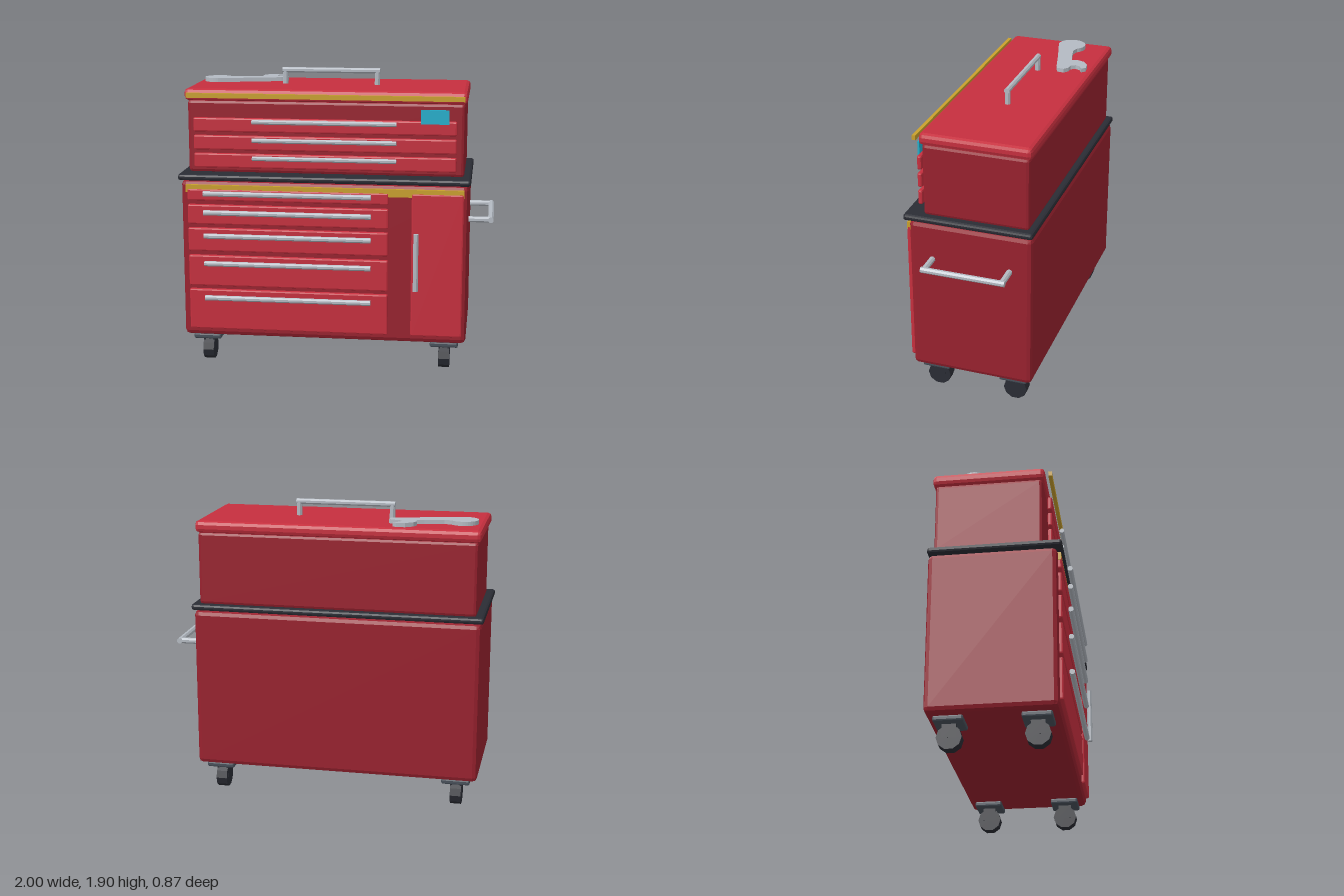
import * as THREE from 'three';
import { RoundedBoxGeometry } from 'three/addons/geometries/RoundedBoxGeometry.js';

function material(name, color) {
  const m = new THREE.MeshStandardMaterial({ color, flatShading: true });
  m.name = name;
  return m;
}

export function createModel() {
  const model = new THREE.Group();
  model.name = 'toolChest';
  const red = material('bright red', 0xc62f3e);
  const darkRed = material('dark red', 0x98212e);
  const gold = material('gold', 0xc9a02c);
  const steel = material('steel', 0xb4bac2);
  const cyan = material('cyan', 0x22aecb);
  const black = material('black', 0x2a2c34);
  const slate = material('slate', 0x48505a);

  function add(name, geometry, mat, parent = model) {
    const mesh = new THREE.Mesh(geometry, mat);
    mesh.name = name;
    parent.add(mesh);
    return mesh;
  }

  // Box given by its limits, with chamfered edges when bevel > 0
  function block(name, mat, [x0, x1], [y0, y1], [z0, z1], bevel = 0, parent = model) {
    const size = [x1 - x0, y1 - y0, z1 - z0];
    const geometry = bevel ? new RoundedBoxGeometry(...size, 1, bevel) : new THREE.BoxGeometry(...size);
    const mesh = add(name, geometry, mat, parent);
    mesh.position.set((x0 + x1) / 2, (y0 + y1) / 2, (z0 + z1) / 2);
    return mesh;
  }

  // Eight-sided steel rod between two points
  function rod(name, a, b, r = 0.017, parent = model) {
    const p = new THREE.Vector3(...a), q = new THREE.Vector3(...b);
    const dir = q.clone().sub(p);
    const mesh = add(name, new THREE.CylinderGeometry(r, r, dir.length(), 8), steel, parent);
    mesh.geometry.rotateY(Math.PI / 8);
    mesh.position.copy(p).add(q).multiplyScalar(0.5);
    mesh.quaternion.setFromUnitVectors(new THREE.Vector3(0, 1, 0), dir.normalize());
    return mesh;
  }

  // Cabinet, worktop, upper chest and lid
  block('cabinet', darkRed, [-0.985, 0.838], [0.195, 1.222], [-0.43, 0.355], 0.03);
  block('worktop', black, [-1, 0.853], [1.225, 1.265], [-0.435, 0.385], 0.015);
  block('upperChest', darkRed, [-0.952, 0.807], [1.26, 1.725], [-0.4, 0.267], 0.02);
  block('lid', red, [-0.97, 0.822], [1.722, 1.797], [-0.417, 0.282], 0.025);

  // Gold trims and the small badge
  block('lidTrim', gold, [-0.948, 0.806], [1.745, 1.775], [0.303, 0.325]);
  block('cabinetTrim', gold, [-0.952, 0.813], [1.148, 1.197], [0.35, 0.374]);
  block('badge', cyan, [0.535, 0.711], [1.604, 1.693], [0.32, 0.332]);

  // Upper drawers with their pulls
  [[1.53, 1.62, 1.6], [1.415, 1.508, 1.482], [1.3, 1.393, 1.368]].forEach(([y0, y1, pull]) => {
    block('upperDrawer', red, [-0.905, 0.76], [y0, y1], [0.291, 0.32], 0.01);
    rod('upperDrawerPull', [-0.525, pull, 0.342], [0.385, pull, 0.342], 0.015);
  });

  // Lower drawers with their pulls
  [[1.096, 1.172, 1.15], [0.941, 1.07, 1.027], [0.765, 0.918, 0.875],
    [0.535, 0.738, 0.694], [0.246, 0.513, 0.467]].forEach(([y0, y1, pull]) => {
    block('lowerDrawer', red, [-0.942, 0.342], [y0, y1], [0.345, 0.378], 0.01);
    rod('lowerDrawerPull', [-0.83, pull, 0.417], [0.235, pull, 0.417]);
  });

  // Side door
  block('door', red, [0.487, 0.813], [0.246, 1.172], [0.345, 0.378], 0.01);
  rod('doorPull', [0.519, 0.555, 0.417], [0.519, 0.925, 0.417]);

  // Lid handle and push handle
  const lidHandle = new THREE.Group();
  lidHandle.name = 'lidHandle';
  rod('grip', [-0.392, 1.886, -0.07], [0.245, 1.886, -0.07], 0.018, lidHandle);
  for (const x of [-0.374, 0.227]) rod('post', [x, 1.79, -0.07], [x, 1.89, -0.07], 0.018, lidHandle);
  const pushHandle = new THREE.Group();
  pushHandle.name = 'pushHandle';
  rod('grip', [0.98, 0.983, -0.308], [0.98, 0.983, 0.223], 0.019, pushHandle);
  for (const z of [-0.289, 0.204]) rod('arm', [0.838, 0.983, z], [0.98, 0.983, z], 0.019, pushHandle);
  model.add(lidHandle, pushHandle);

  // Open-ended wrench lying on the lid: x and -z of the outline
  const wrench = new THREE.Shape();
  wrench.absarc(-0.838, 0.168, 0.09, 0.65, Math.PI * 1.6, false);
  [[-0.6, 0.14], [-0.42, 0.185], [-0.385, 0.2], [-0.38, 0.245], [-0.41, 0.268], [-0.45, 0.27],
    [-0.468, 0.3], [-0.455, 0.33], [-0.42, 0.352], [-0.445, 0.375], [-0.5, 0.368], [-0.545, 0.335],
    [-0.562, 0.29], [-0.55, 0.25], [-0.6, 0.235], [-0.72, 0.21]].forEach(p => wrench.lineTo(...p));
  wrench.closePath();
  const wrenchGeometry = new THREE.ExtrudeGeometry(wrench, { depth: 0.028, bevelEnabled: false });
  wrenchGeometry.rotateX(-Math.PI / 2);
  add('wrench', wrenchGeometry, steel).position.y = 1.795;

  // Four casters
  for (const x of [-0.846, 0.7]) {
    for (const z of [0.222, -0.293]) {
      const caster = new THREE.Group();
      caster.name = 'caster';
      caster.position.set(x, 0, z);
      block('plate', slate, [-0.09, 0.09], [0.155, 0.19], [-0.09, 0.09], 0.01, caster);
      rod('stem', [0, 0.12, 0], [0, 0.2, 0], 0.024, caster);
      for (const s of [-1, 1]) {
        block('forkCheek', black, [s * 0.03 - 0.006, s * 0.03 + 0.006], [0.07, 0.16], [-0.042, 0.042], 0, caster);
      }
      const wheel = add('wheel', new THREE.CylinderGeometry(0.076, 0.076, 0.07, 10), black, caster);
      wheel.rotation.z = Math.PI / 2;
      wheel.position.y = 0.075;
      model.add(caster);
    }
  }
  return model;
}
